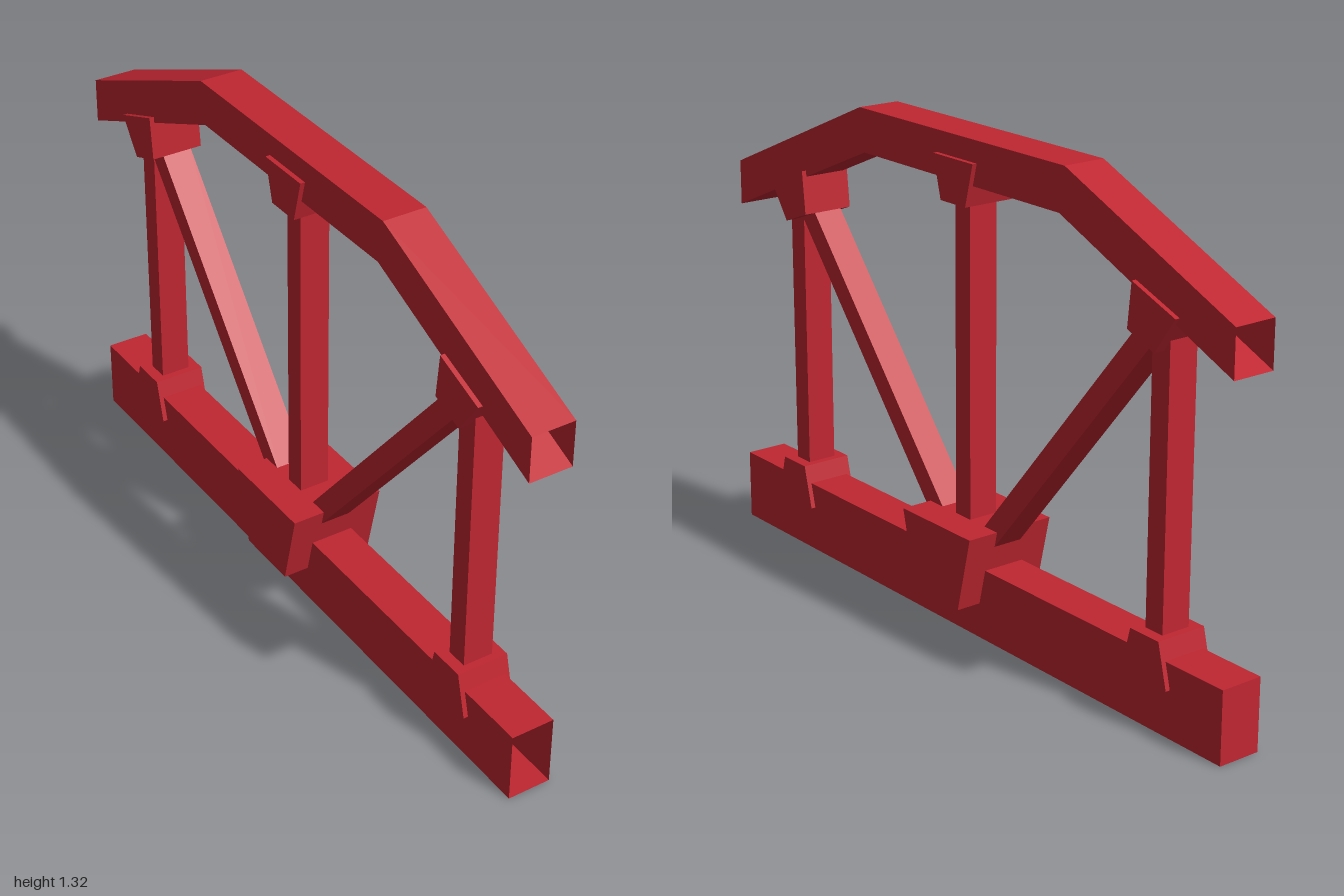
import * as THREE from 'three';

const red = new THREE.MeshStandardMaterial({ color: 0xc02631, side: THREE.DoubleSide });
red.name = 'red paint';

function addMesh(parent, name, geometry) {
  const mesh = new THREE.Mesh(geometry, red);
  mesh.name = name;
  parent.add(mesh);
  return mesh;
}

// Hollow rectangular beam along z from [z, bottom, top] stations; the back end may be closed
function beamGeometry(stations, halfWidth, closeBack) {
  const rings = stations.map(([z, low, high]) => [
    [-halfWidth, low, z], [halfWidth, low, z], [halfWidth, high, z], [-halfWidth, high, z],
  ]);
  const positions = [];
  const quad = (a, b, c, d) => positions.push(...a, ...b, ...c, ...a, ...c, ...d);
  for (let i = 0; i < rings.length - 1; i++) {
    const front = rings[i], back = rings[i + 1];
    for (let k = 0; k < 4; k++) {
      const n = (k + 1) % 4;
      quad(front[k], back[k], back[n], front[n]);
    }
  }
  if (closeBack) {
    const e = rings[rings.length - 1];
    quad(e[3], e[2], e[1], e[0]);
  }
  const geometry = new THREE.BufferGeometry();
  geometry.setAttribute('position', new THREE.Float32BufferAttribute(positions, 3));
  geometry.computeVertexNormals();
  return geometry;
}

// Solid tapered joint block, profile in the z-y plane, centred across x
function jointGeometry(halfTop, halfBottom, height, halfWidth) {
  const shape = new THREE.Shape([
    new THREE.Vector2(-halfBottom, -height / 2), new THREE.Vector2(halfBottom, -height / 2),
    new THREE.Vector2(halfTop, height / 2), new THREE.Vector2(-halfTop, height / 2),
  ]);
  const geometry = new THREE.ExtrudeGeometry(shape, { depth: halfWidth * 2, bevelEnabled: false });
  return geometry.translate(0, 0, -halfWidth).rotateY(-Math.PI / 2);
}

// Rectangular strut between two (z, y) points
function addStrut(parent, name, z0, y0, z1, y1) {
  const dz = z1 - z0, dy = y1 - y0;
  const strut = addMesh(parent, name, new THREE.BoxGeometry(0.084, Math.hypot(dz, dy), 0.06));
  strut.position.set(0, (y0 + y1) / 2, (z0 + z1) / 2);
  strut.rotation.x = Math.atan2(dz, dy);
}

export function createModel() {
  const truss = new THREE.Group();
  truss.name = 'trussFrame';

  // Chords
  addMesh(truss, 'lowerChord', beamGeometry([[1, 0, 0.195], [-1, 0, 0.195]], 0.06, true));
  // The kinks sit slightly further out on the upper edge than on the lower one
  const upper = beamGeometry([
    [1, 0.943, 1.067], [0.405, 1.2, 1.317], [-0.405, 1.2, 1.317], [-1, 0.943, 1.067],
  ], 0.06, false);
  const p = upper.attributes.position;
  for (let i = 0; i < p.count; i++) {
    if (Math.abs(p.getZ(i)) < 0.9) {
      p.setZ(i, Math.sign(p.getZ(i)) * (p.getY(i) > 1.25 ? 0.413 : 0.395));
    }
  }
  upper.computeVertexNormals();
  addMesh(truss, 'upperChord', upper);

  // Middle post and its joints
  addStrut(truss, 'middlePost', 0, 0.2, 0, 1.2);
  addMesh(truss, 'middleLowerJoint', jointGeometry(0.142, 0.092, 0.209, 0.131)).position.y = 0.2;
  addMesh(truss, 'middleUpperJoint', jointGeometry(0.08, 0.05, 0.115, 0.073)).position.y = 1.202;

  // Mirrored side posts, diagonals and joints
  for (const [side, s] of [['front', 1], ['back', -1]]) {
    addStrut(truss, side + 'Post', s * 0.742, 0.18, s * 0.742, 0.98);
    addStrut(truss, side + 'Diagonal', s * 0.08, 0.247, s * 0.7, 0.985);
    addMesh(truss, side + 'LowerJoint', jointGeometry(0.05, 0.08, 0.118, 0.073))
      .position.set(0, 0.186, s * 0.742);
    const joint = addMesh(truss, side + 'UpperJoint', jointGeometry(0.08, 0.05, 0.115, 0.073));
    joint.position.set(0, 1.018, s * 0.725);
    joint.rotation.x = s * 0.36;
  }
  return truss;
}
